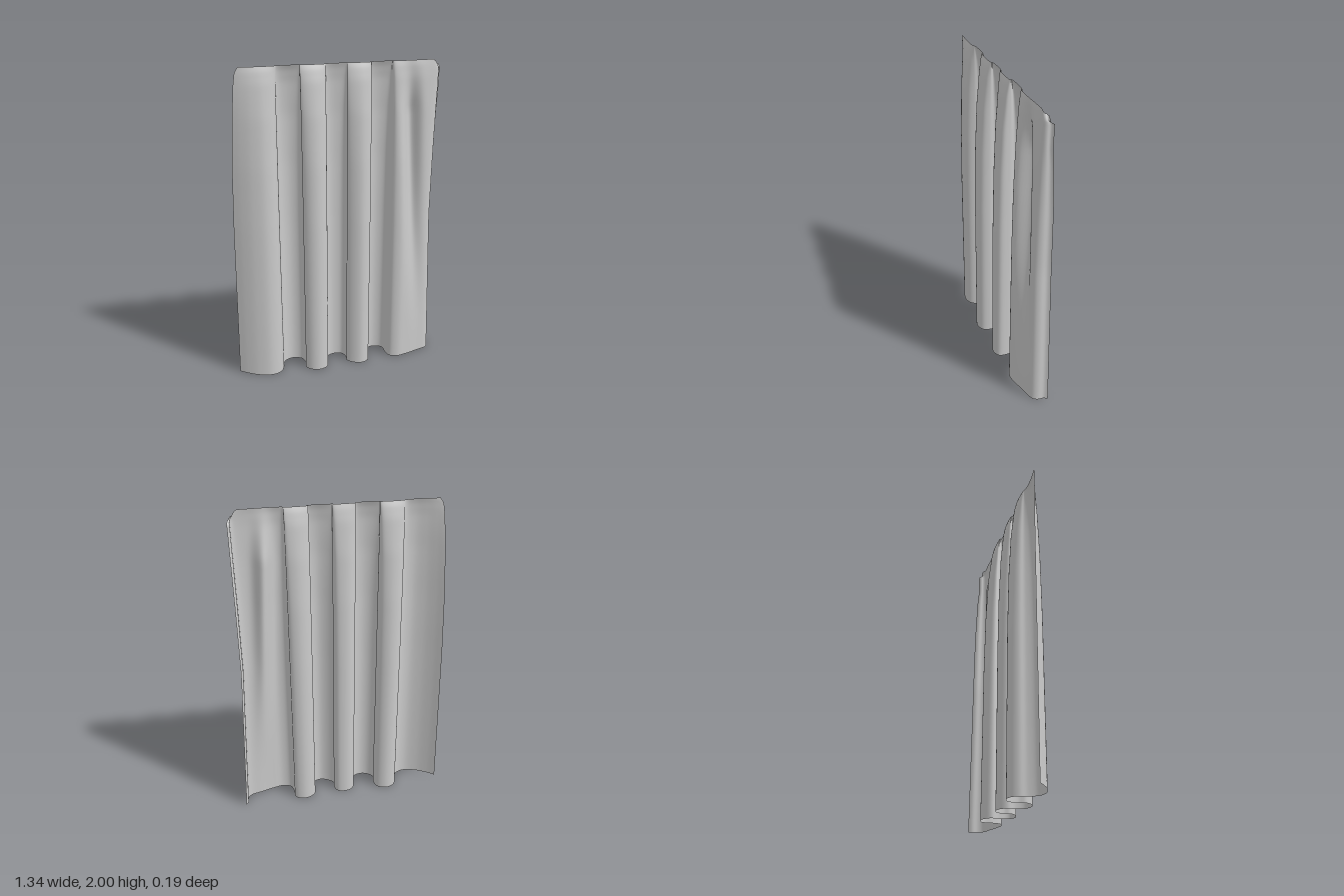
import * as THREE from 'three';

// Hem line seen from above, [x, z] from one side edge to the other
const HEM = [
  [-0.67, -0.03], [-0.62, 0.01], [-0.55, 0.05], [-0.47, 0.07], [-0.41, 0.05], [-0.38, 0],
  [-0.37, -0.05], [-0.34, -0.085], [-0.29, -0.095], [-0.24, -0.07], [-0.225, -0.01],
  [-0.235, 0.04], [-0.2, 0.08], [-0.15, 0.092], [-0.1, 0.07], [-0.08, 0.02],
  [-0.08, -0.03], [-0.05, -0.065], [-0.01, -0.075], [0.04, -0.06], [0.055, -0.01],
  [0.05, 0.03], [0.09, 0.07], [0.14, 0.085], [0.19, 0.06], [0.2, 0],
  [0.195, -0.05], [0.23, -0.085], [0.28, -0.095], [0.33, -0.07], [0.335, 0],
  [0.35, 0.05], [0.4, 0.07], [0.46, 0.06], [0.55, 0.035], [0.63, 0.01],
  [0.65, -0.02], [0.655, -0.06], [0.67, -0.08],
];

// Values by height: fold depth, side edge positions
const DEPTH = [[0, 1], [1, 0.93], [1.4, 0.84], [1.7, 0.67], [1.9, 0.42], [1.97, 0.24], [2, 0.1]];
const LEFT_EDGE = [[0, 0.67], [1, 0.66], [1.4, 0.65], [1.7, 0.635], [1.9, 0.62], [1.97, 0.61], [2, 0.59]];
const RIGHT_EDGE = [[0, 0.67], [0.5, 0.655], [1, 0.64], [1.4, 0.645], [1.95, 0.655], [2, 0.635]];

function lookup(table, y) {
  for (let i = 1; i < table.length; i++) {
    const [y0, a] = table[i - 1], [y1, b] = table[i];
    if (y <= y1) return a + (b - a) * (y - y0) / (y1 - y0);
  }
  return table[table.length - 1][1];
}

export function createModel() {
  const group = new THREE.Group();
  group.name = 'curtain';

  const cols = 200, rows = 48;
  const hem = new THREE.CatmullRomCurve3(HEM.map(([x, z]) => new THREE.Vector3(x, 0, z)))
    .getSpacedPoints(cols);

  // Hanging cloth: a plane whose folds flatten towards the gathered top
  const geometry = new THREE.PlaneGeometry(1, 1, cols, rows);
  const pos = geometry.attributes.position;
  for (let i = 0; i < pos.count; i++) {
    const p = hem[i % (cols + 1)];
    const v = 1 - Math.floor(i / (cols + 1)) / rows;
    const y = 2 * (1 - Math.pow(1 - v, 1.6));

    // Only the outer part of each side follows the edge curve
    const edge = lookup(p.x < 0 ? LEFT_EDGE : RIGHT_EDGE, y);
    const outer = THREE.MathUtils.smoothstep(Math.abs(p.x), 0.35, 0.67);
    const x = p.x * (1 + (edge / 0.67 - 1) * outer);

    // The folded side lip stays deep almost to the top
    let depth = lookup(DEPTH, y);
    const lip = THREE.MathUtils.smoothstep(p.x, 0.62, 0.65);
    depth += lip * Math.max(0, (y < 1.96 ? 0.55 : 0.3) - depth);

    // Slanting crease beside the last fold, fading out downwards
    const centre = 0.45 + 0.05 * (2 - y);
    const crease = Math.exp(-(((p.x - centre) / 0.055) ** 2))
      * THREE.MathUtils.smoothstep(y, 0.1, 1.6) * Math.min(1, (2 - y) / 0.3);
    const z = p.z * depth - 0.075 * crease;

    // Slightly dropped upper corner
    const drop = y > 1.9 ? 0.03 * THREE.MathUtils.smoothstep(p.x, 0.62, 0.67) * (y - 1.9) / 0.1 : 0;
    pos.setXYZ(i, x, y - drop, z);
  }
  geometry.computeVertexNormals();

  const cloth = new THREE.Mesh(geometry, new THREE.MeshStandardMaterial({
    color: 0xcccccc, side: THREE.DoubleSide,
  }));
  cloth.name = 'cloth';
  group.add(cloth);
  return group;
}
